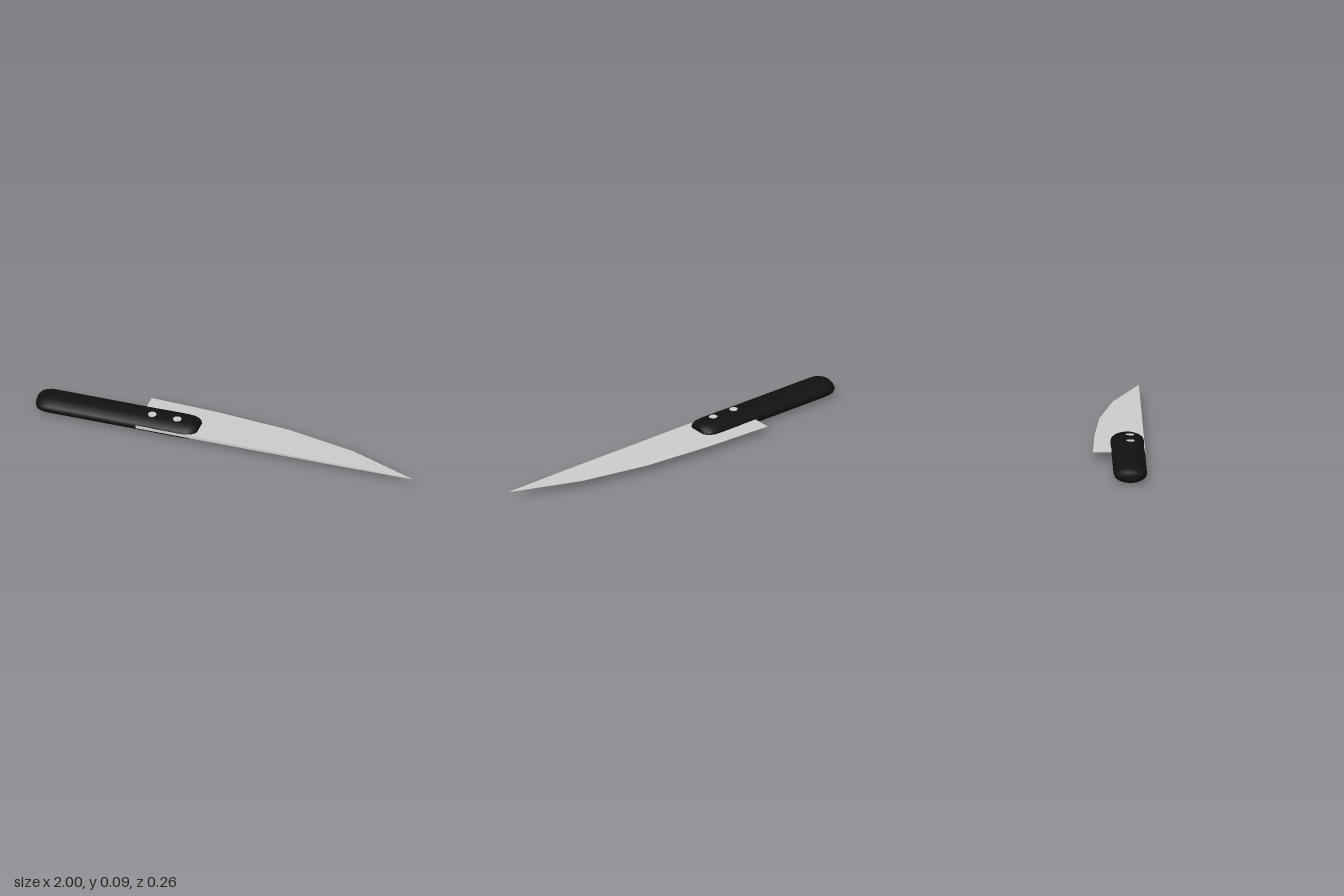
import * as THREE from 'three';

const MID_Y = 0.045;

// Blade lofted from four-cornered sections: thick straight spine, thin curved edge
function bladeGeometry() {
  // x, edge z, half thickness at the spine, half thickness at the edge
  const stations = [
    [-0.46, -0.132, 0.007, 0.001],
    [-0.1, -0.117, 0.007, 0.001],
    [0.28, -0.083, 0.006, 0.001],
    [0.64, -0.008, 0.005, 0.001],
    [1, 0.129, 0.001, 0.0005],
  ];
  const spineZ = 0.131;
  const positions = [];
  const index = [];
  for (const [x, edgeZ, spine, edge] of stations) {
    positions.push(x, spine, spineZ, x, -spine, spineZ, x, -edge, edgeZ, x, edge, edgeZ);
  }
  const last = (stations.length - 1) * 4;
  for (let a = 0; a < last; a += 4) {
    for (let j = 0; j < 4; j++) {
      const k = (j + 1) % 4;
      index.push(a + j, a + k, a + 4 + k, a + j, a + 4 + k, a + 4 + j);
    }
  }
  index.push(0, 2, 1, 0, 3, 2, last, last + 1, last + 2, last, last + 2, last + 3);
  const geometry = new THREE.BufferGeometry();
  geometry.setAttribute('position', new THREE.Float32BufferAttribute(positions, 3));
  geometry.setIndex(index);
  geometry.computeVertexNormals();
  return geometry;
}

// Handle turned along x, then flattened to an oval section
function handleGeometry() {
  const profile = [
    [0, -1], [0.5, -1], [0.72, -0.99], [0.88, -0.972], [0.96, -0.95], [0.98, -0.92],
    [0.98, -0.4], [1, -0.34], [1, -0.23], [0.96, -0.195], [0.86, -0.173], [0.7, -0.158],
    [0.5, -0.15], [0, -0.15],
  ].map(([r, x]) => new THREE.Vector2(r, x));
  return new THREE.LatheGeometry(profile, 16)
    .rotateZ(-Math.PI / 2)
    .scale(1, 0.045, 0.086);
}

export function createModel() {
  const model = new THREE.Group();
  const steel = new THREE.MeshStandardMaterial({ color: 0xcccccc });
  const flatSteel = new THREE.MeshStandardMaterial({ color: 0xcccccc, flatShading: true });
  const black = new THREE.MeshStandardMaterial({ color: 0x111111 });

  const add = (name, geometry, material, x, z) => {
    const mesh = new THREE.Mesh(geometry, material);
    mesh.name = name;
    mesh.position.set(x, MID_Y, z);
    model.add(mesh);
  };

  add('blade', bladeGeometry(), flatSteel, 0, 0);
  add('handle', handleGeometry(), black, 0, 0.045);

  // Rivets run right through the handle
  for (const x of [-0.395, -0.263]) {
    add('rivet', new THREE.CylinderGeometry(0.021, 0.021, 0.09, 20), steel, x, 0.058);
  }
  return model;
}
